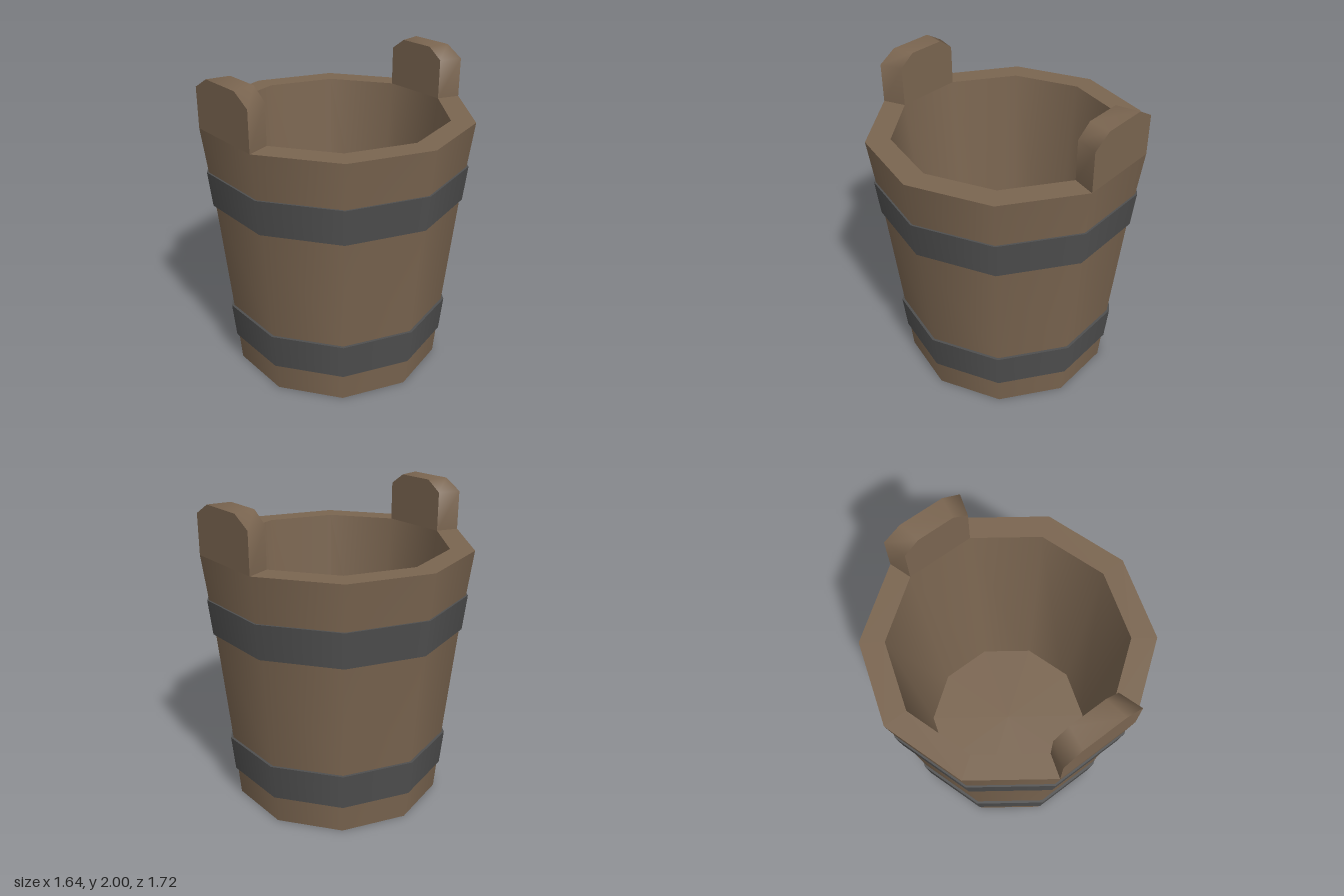
import * as THREE from 'three';
import { mergeGeometries } from 'three/addons/utils/BufferGeometryUtils.js';

const SIDES = 10;
const RIM_Y = 1.68, RIM_OUT = 0.86, RIM_IN = 0.71;
const BASE_OUT = 0.69, BASE_IN = 0.55;

// Ten-sided surface swept from a [radius, y] profile
function sweep(profile) {
  return new THREE.LatheGeometry(profile.map(([r, y]) => new THREE.Vector2(r, y)), SIDES);
}

// Closed hollow ring; each of its four surfaces keeps its own normals
function hollowRing(outer, inner) {
  const bottom = [inner.at(-1), outer[0]];
  const top = [outer.at(-1), inner[0]];
  return mergeGeometries([outer, top, inner, bottom].map(sweep));
}

// Raised stave on the +x side, with chamfered top corners and radial ends
function earGeometry() {
  const a = Math.PI / SIDES;
  const w = RIM_OUT * Math.sin(a);
  const outline = [[w, RIM_Y], [w, 1.93], [0.145, 2], [-0.145, 2], [-w, 1.93], [-w, RIM_Y]];
  const n = outline.length;
  const layer = (r) => outline.flatMap(([z, y]) => [r * Math.cos(a), y, z * r / RIM_OUT]);
  const build = (positions, index) => {
    const g = new THREE.BufferGeometry();
    g.setAttribute('position', new THREE.Float32BufferAttribute(positions, 3));
    g.setIndex(index);
    g.computeVertexNormals();
    return g;
  };
  const edge = [], outFace = [], inFace = [];
  for (let i = 0; i < n - 1; i++) {
    edge.push(i, i + 1, n + i, i + 1, n + i + 1, n + i);
    if (i > 0) {
      outFace.push(0, i + 1, i);
      inFace.push(0, i, i + 1);
    }
  }
  const out = layer(RIM_OUT), inn = layer(RIM_IN);
  return mergeGeometries([build([...out, ...inn], edge), build(out, outFace), build(inn, inFace)]);
}

export function createModel() {
  const group = new THREE.Group();
  const wood = new THREE.MeshStandardMaterial({ color: 0x7a6550 });
  const iron = new THREE.MeshStandardMaterial({ color: 0x4f4f4f });
  const add = (name, geometry, material) => {
    const mesh = new THREE.Mesh(geometry, material);
    mesh.name = name;
    group.add(mesh);
    return mesh;
  };

  // Tapered wall, flaring slightly towards the rim
  add('wall', hollowRing(
    [[BASE_OUT, 0], [0.725, 0.425], [0.796, 1.17], [RIM_OUT, RIM_Y]],
    [[RIM_IN, RIM_Y], [BASE_IN, 0]]
  ), wood);

  // Floor board, recessed above the foot of the wall
  const innerRadius = (y) => BASE_IN + (RIM_IN - BASE_IN) * y / RIM_Y;
  const floorTop = 0.19, floorBottom = 0.05;
  const floor = add('floor', new THREE.CylinderGeometry(
    innerRadius(floorTop), innerRadius(floorBottom), floorTop - floorBottom, SIDES), wood);
  floor.position.y = (floorTop + floorBottom) / 2;

  // Iron hoops
  const hoops = [
    ['lowerHoop', 0.19, 0.425, 0.72, 0.742],
    ['upperHoop', 1.17, 1.395, 0.812, 0.836],
  ];
  for (const [name, y0, y1, r0, r1] of hoops) {
    add(name, hollowRing([[r0, y0], [r1, y1]], [[r1 - 0.04, y1], [r0 - 0.04, y0]]), iron);
  }

  // Two raised staves facing each other
  const ear = earGeometry();
  add('leftEar', ear, wood);
  add('rightEar', ear, wood).rotation.y = Math.PI;

  return group;
}
